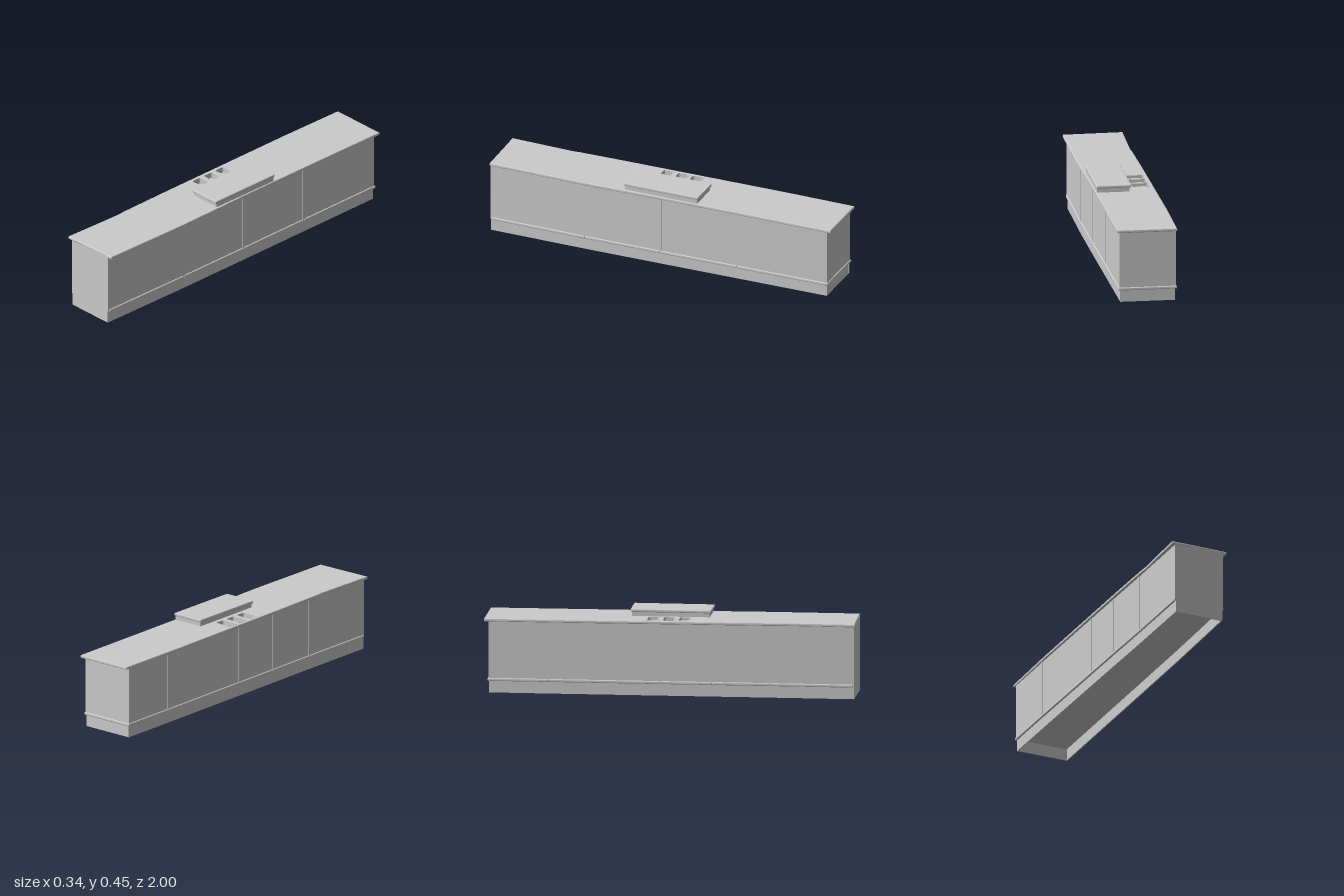
import * as THREE from 'three';
import { RoundedBoxGeometry } from 'three/addons/geometries/RoundedBoxGeometry.js';

const grey = new THREE.MeshStandardMaterial({ color: 0xcccccc, side: THREE.DoubleSide });

// Rounded rectangle path, centred on (cx, cy)
function roundRect(path, cx, cy, w, h, r) {
  const x = cx - w / 2, y = cy - h / 2;
  path.moveTo(x + r, y);
  path.lineTo(x + w - r, y);
  path.quadraticCurveTo(x + w, y, x + w, y + r);
  path.lineTo(x + w, y + h - r);
  path.quadraticCurveTo(x + w, y + h, x + w - r, y + h);
  path.lineTo(x + r, y + h);
  path.quadraticCurveTo(x, y + h, x, y + h - r);
  path.lineTo(x, y + r);
  path.quadraticCurveTo(x, y, x + r, y);
  return path;
}

// Extrude a floor-plan shape (x, z) downwards from y = 0
function slab(shape, depth, bevel = 0) {
  const g = new THREE.ExtrudeGeometry(shape, {
    depth: depth - 2 * bevel, bevelEnabled: bevel > 0, bevelThickness: bevel,
    bevelSize: bevel, bevelOffset: -bevel, bevelSegments: 3, curveSegments: 4,
  });
  return g.translate(0, 0, bevel).rotateX(Math.PI / 2);
}

export function createModel() {
  const model = new THREE.Group();
  model.name = 'serviceCounter';

  const add = (name, geometry, x = 0, y = 0, z = 0) => {
    const mesh = new THREE.Mesh(geometry, grey);
    mesh.name = name;
    mesh.position.set(x, y, z);
    model.add(mesh);
    return mesh;
  };

  // Straight wall between two plan points [x, z]
  const wall = (name, a, b, y0, y1, t, round = 0) => {
    const dx = b[0] - a[0], dz = b[1] - a[1], len = Math.hypot(dx, dz);
    const g = round ? new RoundedBoxGeometry(t, y1 - y0, len, 2, round)
      : new THREE.BoxGeometry(t, y1 - y0, len);
    add(name, g, (a[0] + b[0]) / 2, (y0 + y1) / 2, (a[1] + b[1]) / 2).rotation.y = Math.atan2(dx, dz);
  };

  // Outer faces of the two long sides, slightly out of line
  const sides = [
    { s: 1, name: 'left', pts: [[0.143, 0.99], [0.147, 0.44], [0.145, 0], [0.142, -0.45], [0.139, -0.972]] },
    { s: -1, name: 'right', pts: [[-0.14, 0.99], [-0.144, 0.54], [-0.15, 0.23], [-0.154, -0.05], [-0.163, -0.65], [-0.166, -0.972]] },
  ];
  for (const { s, name, pts } of sides) {
    const inset = (p, d) => [p[0] - s * d, p[1]];
    for (let i = 0; i < pts.length - 1; i++) {
      const a = pts[i], b = pts[i + 1];
      wall(name + 'Panel', inset(a, 0.004), inset(b, 0.004), 0.07, 0.4, 0.008);
      wall(name + 'Plinth', inset(a, 0.007), inset(b, 0.007), 0, 0.07, 0.006);
      wall(name + 'Ledge', inset(a, 0.001), inset(b, 0.001), 0.064, 0.08, 0.014, 0.005);
      // Upright strips over the panel joints
      if (i > 0) add(name + 'JointStrip', new THREE.BoxGeometry(0.012, 0.32, 0.014), a[0] - s * 0.003, 0.236, a[1]);
    }
  }

  // End walls: flush at the front, ledge and recessed plinth at the back
  wall('frontEnd', [-0.14, 0.991], [0.143, 0.991], 0.07, 0.4, 0.008);
  wall('frontPlinth', [-0.136, 0.991], [0.139, 0.991], 0, 0.07, 0.007);
  wall('backEnd', [-0.166, -0.971], [0.139, -0.971], 0.07, 0.4, 0.008);
  wall('backPlinth', [-0.162, -0.968], [0.135, -0.968], 0, 0.07, 0.006);
  wall('backLedge', [-0.172, -0.974], [0.145, -0.974], 0.064, 0.08, 0.014, 0.005);

  // Floor inside the hollow plinth
  const outline = (points) => new THREE.Shape(points.map(([x, z]) => new THREE.Vector2(x, z)));
  const floorPts = [...sides[0].pts, ...sides[1].pts.slice().reverse()].map(([x, z]) => [x * 0.97, z]);
  add('floor', slab(outline(floorPts), 0.005), 0, 0.07, 0);

  // Worktop with three basin cut-outs
  const basinX = -0.097, basinZ = [-0.095, -0.01, 0.075];
  const top = outline([
    [0.165, 0.992], [0.17, 0.45], [0.16, 0], [0.157, -0.4], [0.155, -1],
    [-0.17, -1], [-0.172, -0.6], [-0.162, 0.3], [-0.156, 0.6], [-0.152, 0.64], [-0.161, 1],
  ]);
  for (const z of basinZ) top.holes.push(roundRect(new THREE.Path(), basinX, z, 0.094, 0.06, 0.01));
  add('worktop', slab(top, 0.017, 0.005), 0, 0.4085, 0).rotation.x = -0.004;

  // Basins: rounded sleeve plus floor
  for (const z of basinZ) {
    const ring = roundRect(new THREE.Shape(), basinX, z, 0.104, 0.07, 0.012);
    ring.holes.push(roundRect(new THREE.Path(), basinX, z, 0.09, 0.056, 0.009));
    add('basinSleeve', slab(ring, 0.036), 0, 0.41, 0);
    add('basinFloor', new THREE.BoxGeometry(0.1, 0.004, 0.066), basinX, 0.376, z);
  }

  // Raised serving shelf
  add('shelfBase', new THREE.BoxGeometry(0.177, 0.032, 0.42), 0.064, 0.418, -0.0075);
  add('shelfTop', new RoundedBoxGeometry(0.187, 0.016, 0.436, 3, 0.005), 0.062, 0.439, -0.0075);

  return model;
}
